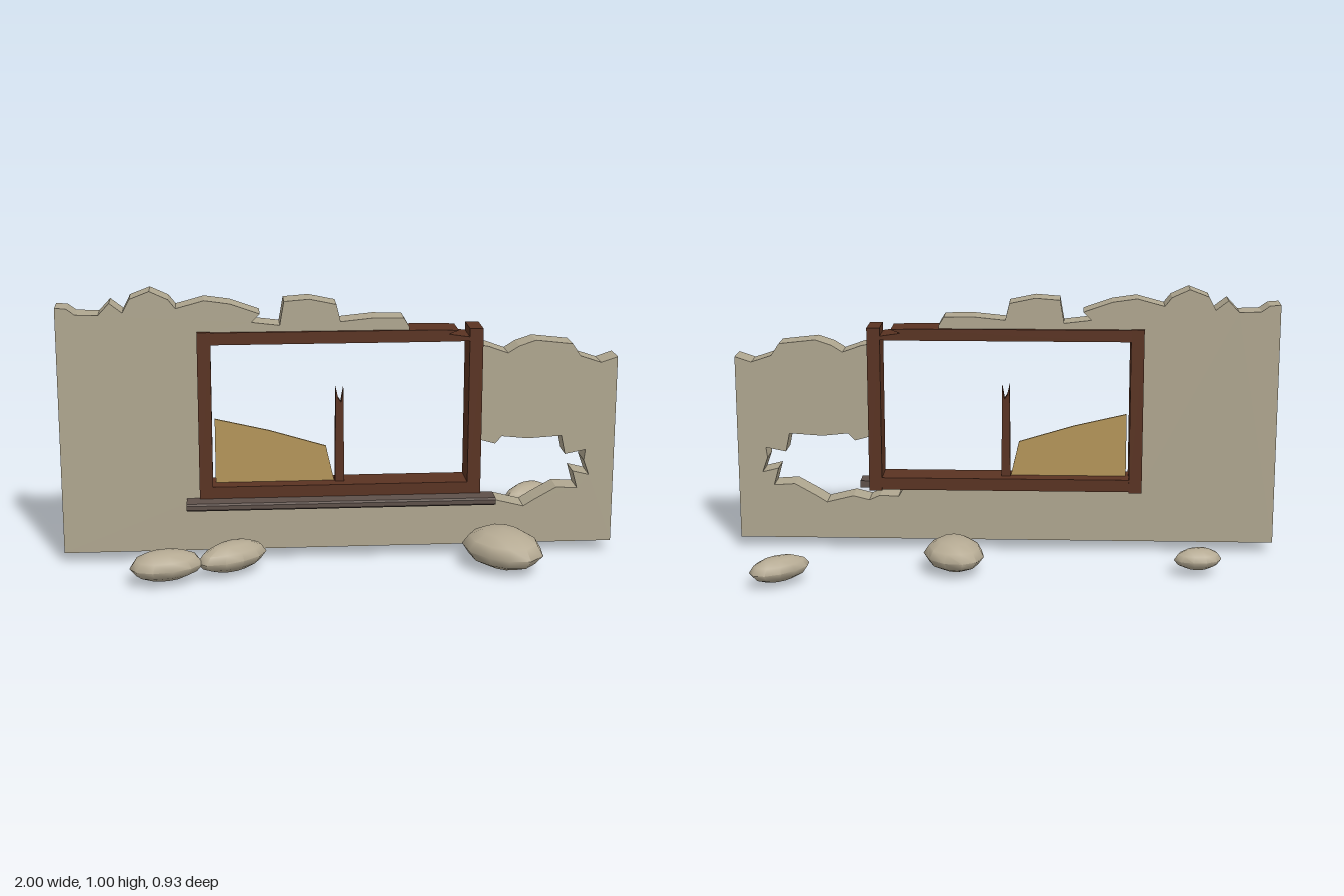
import * as THREE from 'three';
import { toCreasedNormals } from 'three/addons/utils/BufferGeometryUtils.js';

const mat = (name, color) => {
  const m = new THREE.MeshStandardMaterial({ color });
  m.name = name;
  return m;
};

export function createModel() {
  const model = new THREE.Group();
  model.name = 'ruinedWindowWall';
  const plaster = mat('plaster', 0xb0a790);
  const stone = mat('stone', 0xb5aa93);
  const wood = mat('darkWood', 0x5a3322);
  const sillStone = mat('sillStone', 0x5e5049);
  const amber = mat('amberPane', 0xb5965a);

  const add = (name, geo, material, parent = model) => {
    const mesh = new THREE.Mesh(geo, material);
    mesh.name = name;
    parent.add(mesh);
    return mesh;
  };
  // flat outline in x,y pulled from z0 to z1
  const slab = (name, pts, z0, z1, material, parent) => {
    const shape = new THREE.Shape(pts.map(([x, y]) => new THREE.Vector2(x, y)));
    const geo = new THREE.ExtrudeGeometry(shape, { depth: z1 - z0, bevelEnabled: false });
    geo.translate(0, 0, z0);
    return add(name, geo, material, parent);
  };
  const box = (name, x0, x1, y0, y1, z0, z1, material, parent) => {
    const geo = new THREE.BoxGeometry(x1 - x0, y1 - y0, z1 - z0);
    geo.translate((x0 + x1) / 2, (y0 + y1) / 2, (z0 + z1) / 2);
    return add(name, geo, material, parent);
  };

  // Wall: one broken outline that runs round the window and the side hole
  const rightTop = [[1, 0.735], [0.94, 0.715], [0.865, 0.74], [0.835, 0.785], [0.7, 0.8],
    [0.64, 0.78], [0.6, 0.755], [0.53, 0.78], [0.505, 0.785]];
  const hole = [[0.505, 0.435], [0.56, 0.42], [0.585, 0.447], [0.68, 0.437], [0.805, 0.445],
    [0.82, 0.375], [0.895, 0.39], [0.89, 0.35], [0.91, 0.295], [0.85, 0.31], [0.868, 0.245],
    [0.79, 0.25], [0.71, 0.205], [0.67, 0.18], [0.57, 0.205], [0.51, 0.19], [0.47, 0.208], [0.4, 0.205]];
  const opening = [[0.38, 0.24], [-0.5, 0.24], [-0.5, 0.84], [0.245, 0.84]];
  const leftTop = [[0.245, 0.855], [0.225, 0.888], [0.12, 0.89], [0, 0.878], [-0.015, 0.94],
    [-0.11, 0.96], [-0.2, 0.953], [-0.215, 0.868], [-0.315, 0.88], [-0.285, 0.91], [-0.39, 0.947],
    [-0.48, 0.96], [-0.535, 0.945], [-0.58, 0.933], [-0.605, 0.965], [-0.67, 0.995], [-0.74, 0.968],
    [-0.765, 0.92], [-0.81, 0.955], [-0.85, 0.912], [-0.93, 0.915], [-0.96, 0.937], [-1, 0.94]];
  slab('wall', [[-1, 0.04], [1, 0.04], ...rightTop, ...hole, ...opening, ...leftTop], 0.045, 0.145, plaster);

  // Window frame, its head splintered towards the right post
  const frame = new THREE.Group();
  frame.name = 'windowFrame';
  model.add(frame);
  const zb = 0.031, zf = 0.157;
  for (const s of [-1, 1]) {
    const a = s * 0.46, b = s * 0.508;
    box(s > 0 ? 'leftPost' : 'rightPost', Math.min(a, b), Math.max(a, b), 0.23, 0.848, zb, zf, wood, frame);
  }
  box('bottomRail', -0.46, 0.46, 0.234, 0.28, zb + 0.002, zf - 0.002, wood, frame);
  slab('topRail', [[-0.46, 0.802], [0.35, 0.802], [0.46, 0.803], [0.46, 0.818], [0.385, 0.829],
    [0.42, 0.842], [0.36, 0.845], [-0.46, 0.846]], zb + 0.002, zf - 0.002, wood, frame);

  // Snapped centre bar with splinters
  slab('brokenMullion', [[-0.018, 0.28], [0.015, 0.28], [0.013, 0.625], [0.004, 0.575],
    [-0.006, 0.59], [-0.015, 0.63]], 0.077, 0.112, wood, frame);

  // Remaining shard of window pane
  slab('paneShard', [[-0.45, 0.28], [-0.02, 0.28], [-0.05, 0.41], [-0.255, 0.472], [-0.45, 0.518]],
    0.09, 0.098, amber);

  // Sill with chamfered front edges
  const sillShape = new THREE.Shape([[0.14, 0.21], [0.216, 0.21], [0.223, 0.216], [0.223, 0.231],
    [0.216, 0.237], [0.14, 0.237]].map(([z, y]) => new THREE.Vector2(-z, y)));
  const sillGeo = new THREE.ExtrudeGeometry(sillShape, { depth: 1.11, bevelEnabled: false });
  sillGeo.translate(0, 0, -0.555);
  sillGeo.rotateY(Math.PI / 2);
  add('sill', sillGeo, sillStone);

  // Fallen rocks: uneven lens shapes, creased round the middle
  const rockGeo = (seed) => {
    const profile = [[0, -1], [0.45, -0.86], [0.82, -0.5], [1, 0], [0.84, 0.5], [0.5, 0.86], [0, 1]]
      .map(([r, y]) => new THREE.Vector2(r, y));
    const geo = new THREE.LatheGeometry(profile, 11);
    const p = geo.attributes.position;
    for (let i = 0; i < p.count; i++) {
      const a = Math.atan2(p.getZ(i), p.getX(i));
      const k = 1 + 0.05 * Math.sin(2 * a + seed) + 0.035 * Math.sin(3 * a + seed * 2.3 + p.getY(i));
      p.setX(i, p.getX(i) * k);
      p.setZ(i, p.getZ(i) * k);
    }
    return toCreasedNormals(geo, 0.75);
  };
  // x, z, bottom, top, half length, half width, turn
  const rocks = [
    [-0.63, 0.37, 0.012, 0.12, 0.13, 0.085, 0.35],
    [-0.395, 0.29, 0.012, 0.12, 0.138, 0.075, 0.6],
    [0.575, 0.285, 0, 0.143, 0.175, 0.127, -1.25],
    [0.175, -0.2, 0.005, 0.125, 0.143, 0.105, -1.2],
    [0.785, -0.38, 0.014, 0.105, 0.115, 0.065, 0.75],
    [-0.705, -0.215, 0.02, 0.1, 0.085, 0.058, 0.1],
  ];
  rocks.forEach(([x, z, y0, y1, length, width, turn], i) => {
    const rock = add('rock' + (i + 1), rockGeo(i * 1.7 + 0.4), stone);
    rock.position.set(x, (y0 + y1) / 2, z);
    rock.scale.set(length, (y1 - y0) / 2, width);
    rock.rotation.y = turn;
  });
  return model;
}
